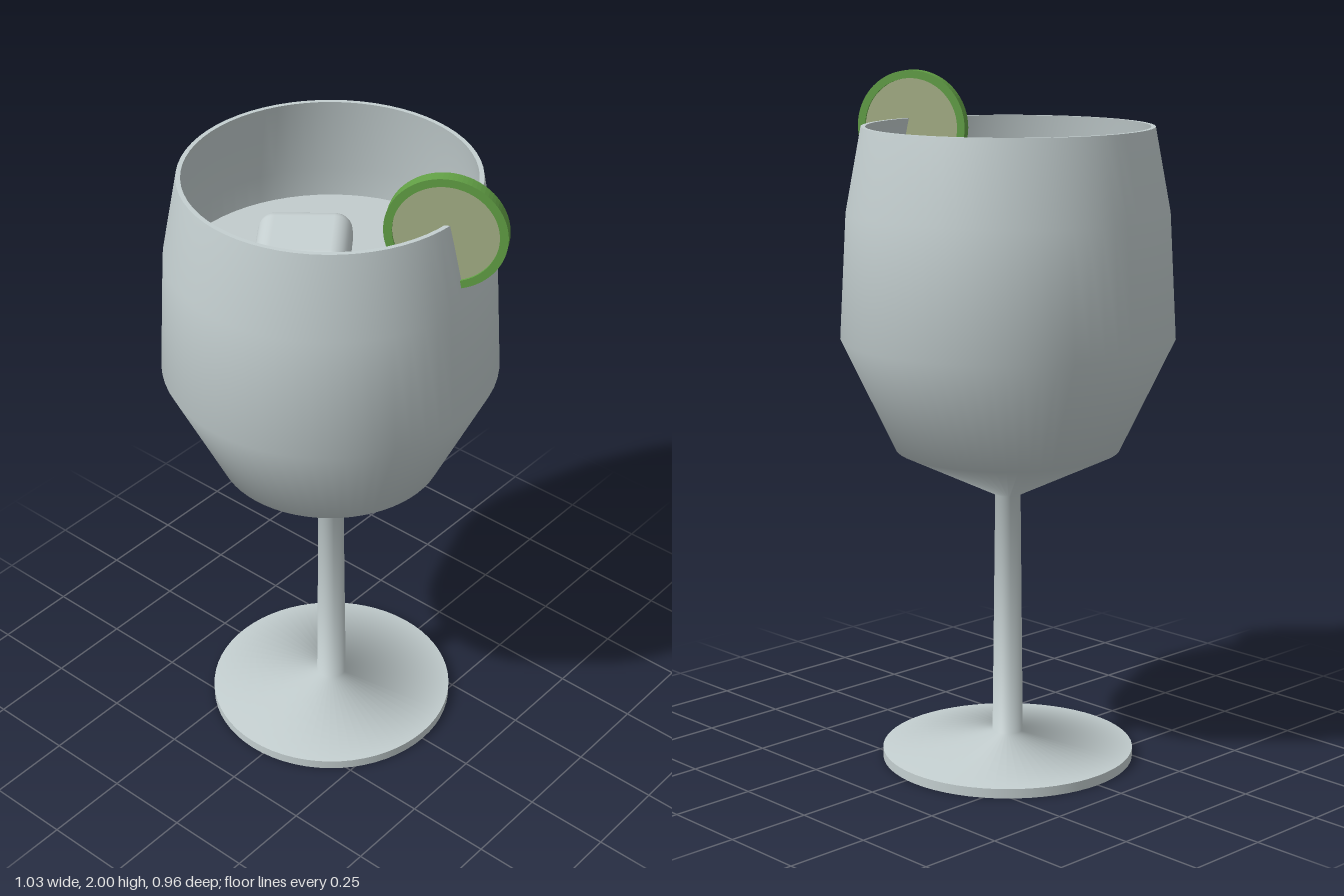
import * as THREE from 'three';
import { RoundedBoxGeometry } from 'three/addons/geometries/RoundedBoxGeometry.js';

const AXIS_X = -0.04;

function material(name, color, side = THREE.FrontSide) {
  const m = new THREE.MeshStandardMaterial({ color, side });
  m.name = name;
  return m;
}

export function createModel() {
  const group = new THREE.Group();
  const glass = material('glass', 0xc4cfd0);
  const drink = material('drink', 0xc2cccd);
  const ice = material('ice', 0xc6d0d1);
  const rind = material('lime rind', 0x62a045);
  const pulp = material('lime pulp', 0xa6b187);

  const add = (parent, name, geometry, mat, x = 0, y = 0, z = 0) => {
    const mesh = new THREE.Mesh(geometry, mat);
    mesh.name = name;
    mesh.position.set(x, y, z);
    parent.add(mesh);
    return mesh;
  };
  const lathe = (points) =>
    new THREE.LatheGeometry(points.map(([r, y]) => new THREE.Vector2(r, y)), 64);

  // Stemmed glass: sharp edges only at the foot and the lip
  const goblet = new THREE.Group();
  goblet.name = 'goblet';
  goblet.position.x = AXIS_X;
  group.add(goblet);
  add(goblet, 'footUnderside', lathe([[0, 0], [0.37, 0]]), glass);
  add(goblet, 'footEdge', lathe([[0.37, 0], [0.37, 0.028]]), glass);
  add(goblet, 'outerWall', lathe([
    [0.37, 0.028], [0.045, 0.075], [0.037, 0.795],
    [0.325, 0.935], [0.48, 1.26], [0.46, 1.62], [0.415, 1.86],
  ]), glass);
  add(goblet, 'lip', lathe([[0.415, 1.86], [0.402, 1.86]]), glass);
  add(goblet, 'innerWall', lathe([
    [0.402, 1.86], [0.446, 1.62], [0.466, 1.26], [0.315, 0.945], [0, 0.81],
  ]), glass);

  // Drink surface
  add(goblet, 'drinkSurface', lathe([[0.452, 1.53], [0, 1.53]]), drink);

  // Ice: one cube floating, one resting low in the bowl
  const cube = new RoundedBoxGeometry(0.27, 0.27, 0.27, 4, 0.05);
  const floating = add(group, 'floatingIce', cube, ice, -0.18, 1.465, -0.05);
  floating.rotation.set(0.04, 0.64, 0.03, 'YXZ');
  const sunken = add(group, 'sunkenIce', cube, ice, -0.02, 0.99, 0.08);
  sunken.rotation.y = Math.PI / 4;

  // Lime slice over the rim: a rind ring with a slightly recessed centre
  const lime = new THREE.Group();
  lime.name = 'limeSlice';
  lime.position.set(0.36, 1.835, 0);
  lime.rotation.y = 0.51;
  group.add(lime);
  const ring = new THREE.Shape().absarc(0, 0, 0.165, 0, Math.PI * 2);
  ring.holes.push(new THREE.Path().absarc(0, 0, 0.142, 0, Math.PI * 2, true));
  const ringGeometry = new THREE.ExtrudeGeometry(ring, {
    depth: 0.036, bevelEnabled: false, curveSegments: 40,
  });
  add(lime, 'rind', ringGeometry, rind, 0, 0, -0.018);
  const flesh = add(lime, 'pulp', new THREE.CylinderGeometry(0.143, 0.143, 0.024, 40), pulp);
  flesh.rotation.x = Math.PI / 2;

  return group;
}
